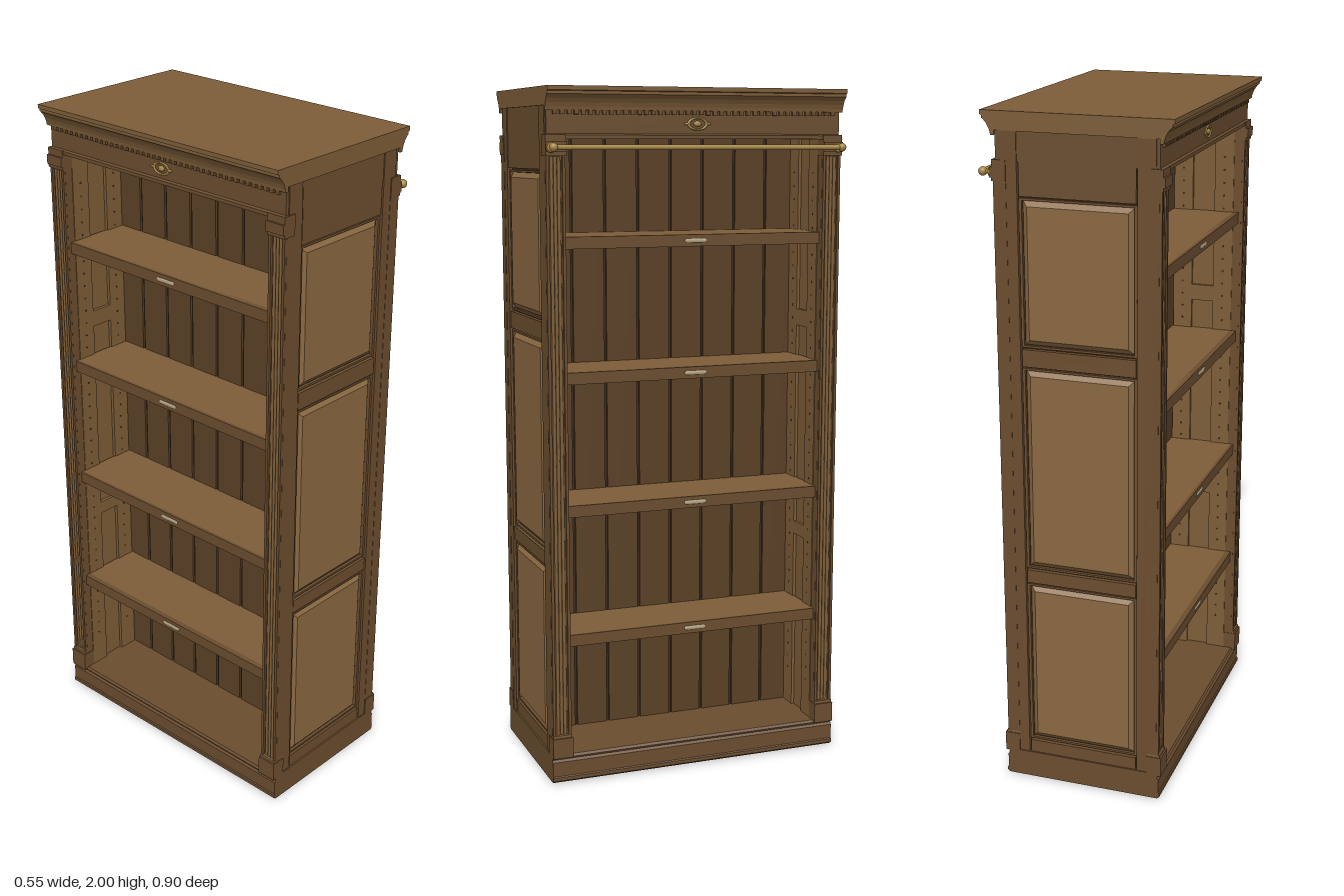
import * as THREE from 'three';

const mat = (color) => new THREE.MeshStandardMaterial({ color });
const wood = mat(0x7d5d38), frameWood = mat(0x6b4d2f), panelWood = mat(0x8a6841);
const plankWood = mat(0x5a4026), darkWood = mat(0x3a2818), brass = mat(0xa58645), metal = mat(0xb8a888);

function add(parent, name, geometry, material, x = 0, y = 0, z = 0) {
  const mesh = new THREE.Mesh(geometry, material);
  mesh.name = name;
  mesh.position.set(x, y, z);
  parent.add(mesh);
  return mesh;
}

// Box given by its limits on each axis
function slab(parent, name, material, [x0, x1], [y0, y1], [z0, z1]) {
  return add(parent, name, new THREE.BoxGeometry(x1 - x0, y1 - y0, z1 - z0), material,
    (x0 + x1) / 2, (y0 + y1) / 2, (z0 + z1) / 2);
}

// Box whose +z face is drawn in to make a bevelled field
function raisedGeometry(w, h, d, bevel) {
  const g = new THREE.BoxGeometry(w, h, d);
  const p = g.attributes.position;
  for (let i = 0; i < p.count; i++) {
    if (p.getZ(i) < 0) continue;
    p.setX(i, p.getX(i) - Math.sign(p.getX(i)) * bevel);
    p.setY(i, p.getY(i) - Math.sign(p.getY(i)) * bevel);
  }
  g.computeVertexNormals();
  return g;
}

// Profile of (x, y) points run along z, centred
function moulding(parent, name, material, points, length) {
  const shape = new THREE.Shape(points.map(([x, y]) => new THREE.Vector2(x, y)));
  const g = new THREE.ExtrudeGeometry(shape, { depth: length, bevelEnabled: false });
  g.translate(0, 0, -length / 2);
  return add(parent, name, g, material);
}

const panelSpans = [[0.13, 0.64], [0.69, 1.295], [1.355, 1.77]];
const railSpans = [[0.005, 0.125], [0.645, 0.685], [1.30, 1.35], [1.775, 1.95]];
const shelfHeights = [0.425, 0.808, 1.192, 1.573];

// Panelled end wall facing +z
function makeEnd() {
  const end = new THREE.Group();
  end.name = 'endWall';
  slab(end, 'endCore', darkWood, [-0.22, 0.22], [0, 1.95], [0.41, 0.432]);
  for (const [a, b] of railSpans) slab(end, 'endRail', frameWood, [-0.165, 0.165], [a, b], [0.43, 0.445]);
  for (const [a, b] of panelSpans) {
    const y = (a + b) / 2, h = b - a;
    add(end, 'raisedPanel', raisedGeometry(0.318, h - 0.012, 0.013, 0.016), panelWood, 0, y, 0.4375);
    // Thin bead framing the panel
    for (const s of [-1, 1]) {
      slab(end, 'panelBead', frameWood, [s * 0.163 - 0.004, s * 0.163 + 0.004], [a, b], [0.43, 0.441]);
      const e = y + s * (h / 2 - 0.003);
      slab(end, 'panelBead', frameWood, [-0.163, 0.163], [e - 0.003, e + 0.003], [0.43, 0.441]);
    }
  }
  for (const s of [-1, 1]) {
    slab(end, 'endStile', frameWood, [s * 0.1945 - 0.0255, s * 0.1945 + 0.0255], [0.005, 1.95], [0.43, 0.447]);
    // Inner lining, one bay on each side of the partition
    const bay = new THREE.Group();
    bay.name = 'innerLining';
    bay.rotation.y = s < 0 ? Math.PI : 0;
    bay.position.z = s < 0 ? 0.81 : 0;
    end.add(bay);
    const inner = s < 0 ? [0.41, 0.42] : [0.39, 0.40];
    const face = s < 0 ? 0.42 : 0.39;
    slab(bay, 'liningBoard', wood, [0.01, 0.215], [0.08, 1.87], [0.40, 0.411]);
    for (const x of [0.045, 0.175]) {
      slab(bay, 'liningStile', wood, [x - 0.03, x + 0.03], [0.08, 1.87], inner);
      for (let y = 0.2; y < 1.8; y += 0.04) {
        const hole = add(bay, 'pegHole', new THREE.CylinderGeometry(0.0035, 0.0035, 0.001, 8), darkWood, x, y, face);
        hole.rotation.x = Math.PI / 2;
      }
    }
    for (const [a, b] of railSpans.slice(1, 3)) slab(bay, 'liningRail', wood, [0.07, 0.15], [a, b], inner);
  }
  return end;
}

// Fluted pilaster with plinth block and capital, facing +x
function makePilaster(z) {
  const g = new THREE.Group();
  g.name = 'pilaster';
  g.position.z = z;
  slab(g, 'pilasterBoard', frameWood, [0.2, 0.23], [0.08, 1.87], [-0.028, 0.028]);
  for (const dz of [-0.0235, 0.0235]) slab(g, 'pilasterEdge', frameWood, [0.228, 0.237], [0.14, 1.82], [dz - 0.004, dz + 0.004]);
  for (const dz of [-0.0105, 0, 0.0105])
    add(g, 'reed', new THREE.CylinderGeometry(0.0048, 0.0048, 1.66, 10), wood, 0.231, 0.98, dz);
  slab(g, 'plinthBlock', frameWood, [0.2, 0.245], [0.08, 0.14], [-0.03, 0.03]);
  slab(g, 'plinthCap', wood, [0.2, 0.24], [0.14, 0.148], [-0.028, 0.028]);
  for (const [y0, y1, x] of [[1.812, 1.822, 0.241], [1.822, 1.85, 0.246], [1.85, 1.87, 0.24]])
    slab(g, 'capital', frameWood, [0.2, x], [y0, y1], [-0.03, 0.03]);
  return g;
}

// Open shelf face looking toward +x
function makeFace() {
  const face = new THREE.Group();
  face.name = 'shelfFace';
  for (let i = 0; i < 8; i++) {
    const z0 = Math.max(-0.40, (i - 4) * 0.1025 + 0.004), z1 = Math.min(0.40, (i - 3) * 0.1025 - 0.004);
    slab(face, 'backPlank', plankWood, [0.005, 0.013], [0.08, 1.87], [z0, z1]);
  }
  for (const y of shelfHeights) {
    slab(face, 'shelf', wood, [0.01, 0.213], [y - 0.014, y + 0.017], [-0.395, 0.395]);
    slab(face, 'shelfNosing', frameWood, [0.205, 0.222], [y - 0.017, y + 0.017], [-0.39, 0.39]);
    const tag = add(face, 'labelPlate', new THREE.CapsuleGeometry(0.006, 0.056, 4, 10), metal, 0.222, y, 0);
    tag.rotation.x = Math.PI / 2;
    tag.scale.x = 0.4;
  }
  face.add(makePilaster(0.42), makePilaster(-0.42));
  // Base board with stepped top and toe bead
  moulding(face, 'baseBoard', frameWood, [[0, 0.004], [0.234, 0.004], [0.241, 0.01], [0.241, 0.02], [0.238, 0.023],
    [0.238, 0.066], [0.233, 0.073], [0.236, 0.079], [0.231, 0.086], [0, 0.086]], 0.9);
  // Frieze and crown
  moulding(face, 'frieze', frameWood, [[0, 1.868], [0.2, 1.868], [0.2, 1.858], [0.236, 1.858], [0.236, 1.868],
    [0.23, 1.872], [0.23, 1.95], [0, 1.95]], 0.888);
  moulding(face, 'crown', wood, [[0, 1.948], [0.23, 1.948], [0.23, 1.935], [0.24, 1.935], [0.242, 1.945], [0.246, 1.956],
    [0.252, 1.967], [0.261, 1.977], [0.264, 1.978], [0.264, 1.986], [0.27, 1.988], [0.27, 2], [0, 2]], 0.9);
  for (let i = 0; i < 42; i++) {
    const z = (i - 20.5) * 0.0205;
    slab(face, 'dentil', frameWood, [0.228, 0.238], [1.924, 1.936], [z - 0.006, z + 0.006]);
  }
  // Oval rosette with side leaves
  const rosette = new THREE.Group();
  rosette.name = 'rosette';
  rosette.position.set(0.231, 1.9, 0);
  rosette.rotation.y = Math.PI / 2;
  face.add(rosette);
  add(rosette, 'rosetteRing', new THREE.TorusGeometry(0.018, 0.003, 6, 24), brass).scale.set(1.5, 0.9, 1);
  add(rosette, 'rosetteBoss', new THREE.SphereGeometry(0.01, 12, 8), brass).scale.set(1.2, 0.8, 0.5);
  for (const s of [-1, 1])
    add(rosette, 'rosetteLeaf', new THREE.SphereGeometry(0.009, 10, 6), brass, s * 0.032, 0, 0).scale.set(1, 0.4, 0.4);
  return face;
}

// Brass ladder rail on brackets
function makeRail() {
  const rail = new THREE.Group();
  rail.name = 'ladderRail';
  const x = 0.2705, y = 1.835;
  add(rail, 'railTube', new THREE.CylinderGeometry(0.0075, 0.0075, 0.88, 16), brass, x, y, 0).rotation.x = Math.PI / 2;
  for (const z of [-0.435, 0.435]) {
    add(rail, 'railFinial', new THREE.SphereGeometry(0.0125, 16, 12), brass, x, y, z);
    add(rail, 'bracketArm', new THREE.CylinderGeometry(0.005, 0.008, 0.03, 12), brass, 0.257, y, z).rotation.z = -Math.PI / 2;
    add(rail, 'bracketPlate', new THREE.CylinderGeometry(0.013, 0.015, 0.006, 16), brass, 0.248, y, z).rotation.z = -Math.PI / 2;
  }
  return rail;
}

export function createModel() {
  const model = new THREE.Group();
  model.name = 'doubleSidedBookcase';
  const body = new THREE.Group();
  body.name = 'bookcaseBody';
  body.position.x = -0.008;
  model.add(body);

  slab(body, 'partitionCore', darkWood, [-0.006, 0.006], [0.05, 1.9], [-0.41, 0.41]);
  slab(body, 'bottomBoard', darkWood, [-0.225, 0.225], [0, 0.01], [-0.44, 0.44]);
  for (const turn of [0, Math.PI]) {
    const end = makeEnd(), face = makeFace();
    end.rotation.y = face.rotation.y = turn;
    body.add(end, face);
  }
  body.add(makeRail());
  return model;
}
